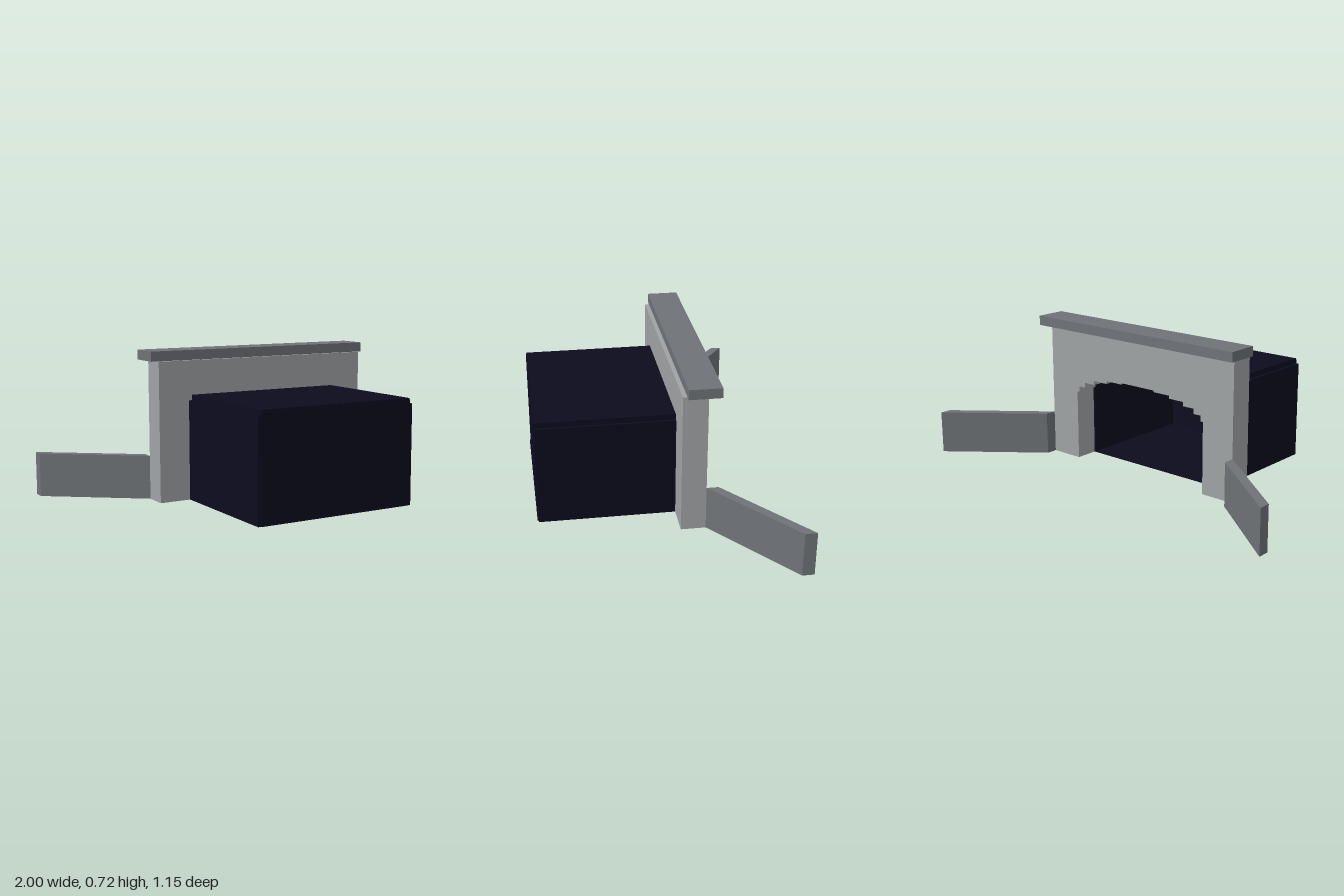
import * as THREE from 'three';

const material = (name, color, side = THREE.FrontSide) =>
  new THREE.MeshStandardMaterial({ name, color, side });

export function createModel() {
  const group = new THREE.Group();
  const stone = material('pale stone', 0xa0a3a5);
  const trim = material('grey stone', 0x6f7377);
  const dark = material('tunnel dark', 0x0b0b1e);
  const light = material('lamp glass', 0xd8d4c4);

  const add = (name, geometry, mat) => {
    const mesh = new THREE.Mesh(geometry, mat);
    mesh.name = name;
    group.add(mesh);
    return mesh;
  };
  // Box given by its lower and upper corners
  const box = (name, mat, [x0, y0, z0], [x1, y1, z1]) =>
    add(name, new THREE.BoxGeometry(x1 - x0, y1 - y0, z1 - z0), mat)
      .position.set((x0 + x1) / 2, (y0 + y1) / 2, (z0 + z1) / 2);

  // Portal wall with a stepped arch opening
  const wall = new THREE.Shape();
  const half = 0.4, spring = 0.335, rise = 0.11, steps = 12;
  wall.moveTo(-0.57, 0);
  wall.lineTo(-half, 0);
  for (let i = 0; i < steps; i++) {
    const a = (i / steps) * Math.PI, b = ((i + 1) / steps) * Math.PI;
    const y = spring + rise * Math.sin((a + b) / 2);
    wall.lineTo(-half * Math.cos(a), y);
    wall.lineTo(-half * Math.cos(b), y);
  }
  wall.lineTo(half, 0);
  wall.lineTo(0.57, 0);
  wall.lineTo(0.57, 0.67);
  wall.lineTo(-0.57, 0.67);
  wall.closePath();
  const wallGeometry = new THREE.ExtrudeGeometry(wall, { depth: 0.115, bevelEnabled: false });
  add('portalWall', wallGeometry.translate(0, 0, -0.185), stone);

  // Coping slab along the top
  box('coping', trim, [-0.6, 0.67, -0.24], [0.6, 0.717, -0.09]);

  // Splayed wing walls
  for (const s of [1, -1]) {
    const plan = new THREE.Shape([
      [0.57, 0.185], [1, 0.52], [1, 0.575], [0.57, 0.24],
    ].map(([x, y]) => new THREE.Vector2(s * x, y)));
    const geometry = new THREE.ExtrudeGeometry(plan, { depth: 0.21, bevelEnabled: false });
    add(s > 0 ? 'leftWingWall' : 'rightWingWall', geometry.rotateX(-Math.PI / 2), trim);
  }

  // Dark tunnel shell, open at the portal
  for (const s of [1, -1]) {
    const x = [0.39 * s, 0.415 * s].sort((a, b) => a - b);
    box(s > 0 ? 'leftTunnelSide' : 'rightTunnelSide', dark, [x[0], 0, -0.07], [x[1], 0.48, 0.57]);
  }
  box('tunnelCeiling', dark, [-0.4, 0.475, -0.07], [0.4, 0.506, 0.567]);
  box('tunnelEnd', dark, [-0.4, 0.004, 0.55], [0.4, 0.5, 0.571]);
  box('tunnelFloor', dark, [-0.4, 0, -0.07], [0.4, 0.005, 0.575]);

  // Ceiling lamp on a dark bracket
  box('lampBracket', dark, [-0.02, 0.44, 0.155], [0.02, 0.475, 0.175]);
  box('lamp', light, [-0.067, 0.428, 0.145], [0.067, 0.442, 0.185]);

  return group;
}
